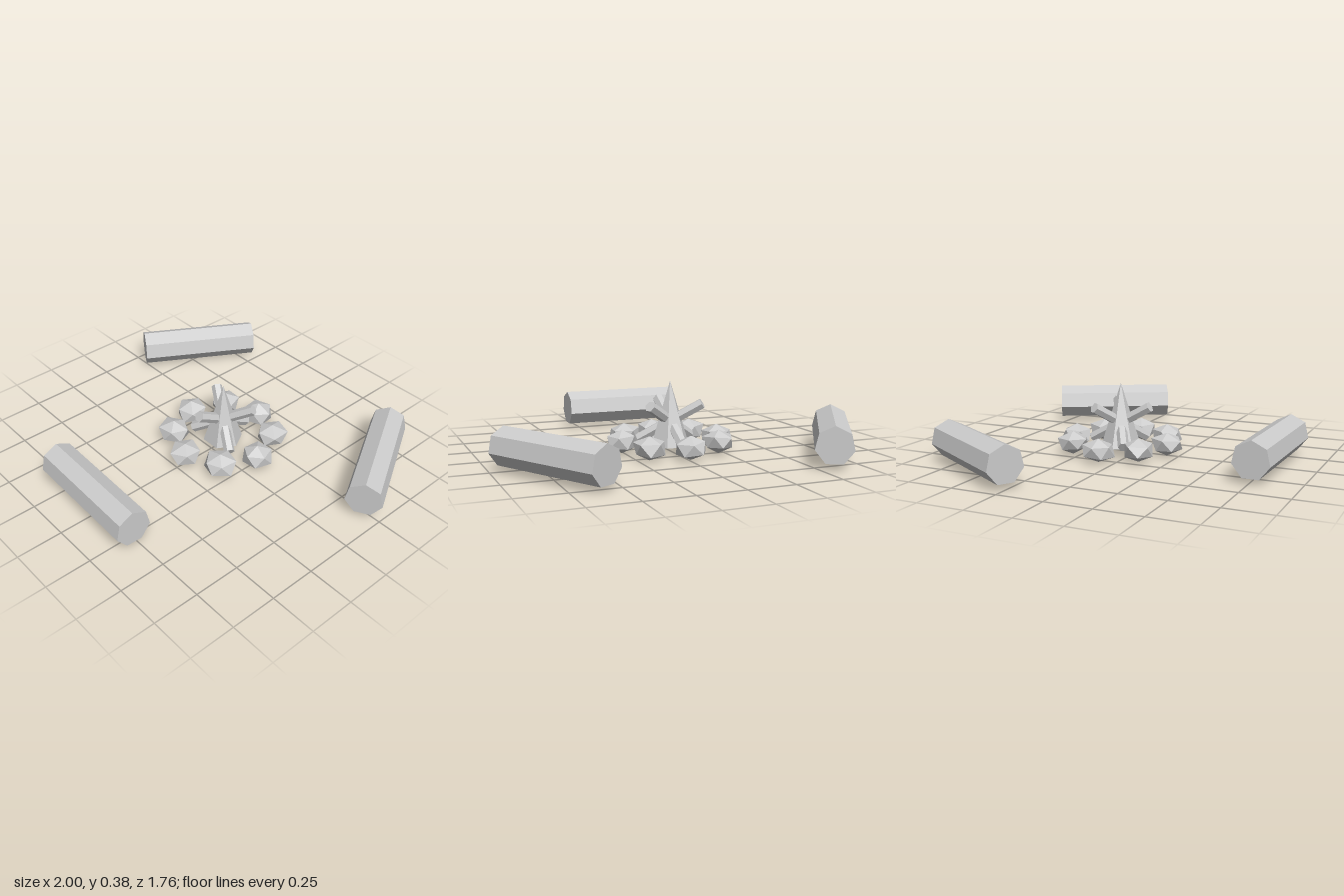
import * as THREE from 'three';

const stone = new THREE.MeshStandardMaterial({ color: 0xcccccc, flatShading: true });
stone.name = 'light grey';

// Small seeded generator for the uneven rocks
let seed = 7;
const rand = () => (seed = (seed * 16807) % 2147483647) / 2147483647;

function add(parent, name, geometry) {
  const mesh = new THREE.Mesh(geometry, stone);
  mesh.name = name;
  parent.add(mesh);
  return mesh;
}

// Prism lying along z, with the first corner on top (turn shifts the corners)
function prism(radius, length, sides, turn = 0) {
  return new THREE.CylinderGeometry(radius, radius, length, sides).rotateY(turn).rotateX(-Math.PI / 2);
}

// Uneven twenty-sided rock: two poles and two staggered rings of five
function rockGeometry(angle) {
  const points = [0, 0.063, 0];
  for (let ring = 0; ring < 2; ring++) {
    for (let i = 0; i < 5; i++) {
      const a = angle + ((i + ring / 2) / 5) * Math.PI * 2;
      const r = 0.072 + rand() * 0.018;
      const y = (ring ? -0.03 : 0.03) + (rand() - 0.5) * 0.014;
      points.push(Math.sin(a) * r, y, Math.cos(a) * r);
    }
  }
  points.push(0, -0.063, 0);
  const index = [];
  for (let i = 0; i < 5; i++) {
    const j = (i + 1) % 5;
    const [u, v, p, q] = [1 + i, 1 + j, 6 + i, 6 + j];
    index.push(0, u, v, u, p, v, v, p, q, 11, q, p);
  }
  const geometry = new THREE.BufferGeometry();
  geometry.setAttribute('position', new THREE.Float32BufferAttribute(points, 3));
  geometry.setIndex(index);
  const flat = geometry.toNonIndexed();
  flat.computeVertexNormals();
  return flat;
}

export function createModel() {
  const model = new THREE.Group();
  model.name = 'campfire';

  // Seat logs: x, z and direction on the ground
  const logs = [
    [-0.025, 0.77, Math.atan2(0.68, 0.015)],
    [-0.74, -0.54, Math.atan2(0.35, -0.58)],
    [0.753, -0.505, Math.atan2(0.33, 0.595)],
  ];
  for (const [x, z, angle] of logs) {
    const log = add(model, 'seatLog', prism(0.1, 0.68, 7));
    log.position.set(x, 0.12, z);
    log.rotation.y = angle;
  }

  const fire = new THREE.Group();
  fire.name = 'firePit';
  fire.position.set(-0.007, 0, -0.091);
  model.add(fire);

  // Flame: six-sided cone with corners on the x axis
  const flame = new THREE.ConeGeometry(0.11, 0.35, 6).rotateY(Math.PI / 6);
  add(fire, 'flame', flame).position.y = 0.205;

  // Three crossed sticks, each leaning through the flame
  for (let i = 0; i < 3; i++) {
    const geometry = prism(0.03, 0.4, 6, Math.PI / 6).rotateX(-Math.PI / 6);
    const stick = add(fire, 'firewoodStick', geometry);
    stick.position.y = 0.16;
    stick.rotation.y = (i * Math.PI * 2) / 3;
  }

  // Ring of rocks
  for (let i = 0; i < 8; i++) {
    const a = (i * Math.PI) / 4;
    const rock = add(fire, 'ringRock', rockGeometry(a + (rand() - 0.5) * 0.5));
    rock.position.set(Math.sin(a) * 0.275, 0.063 + (i % 3) * 0.003, Math.cos(a) * 0.275);
  }

  return model;
}
